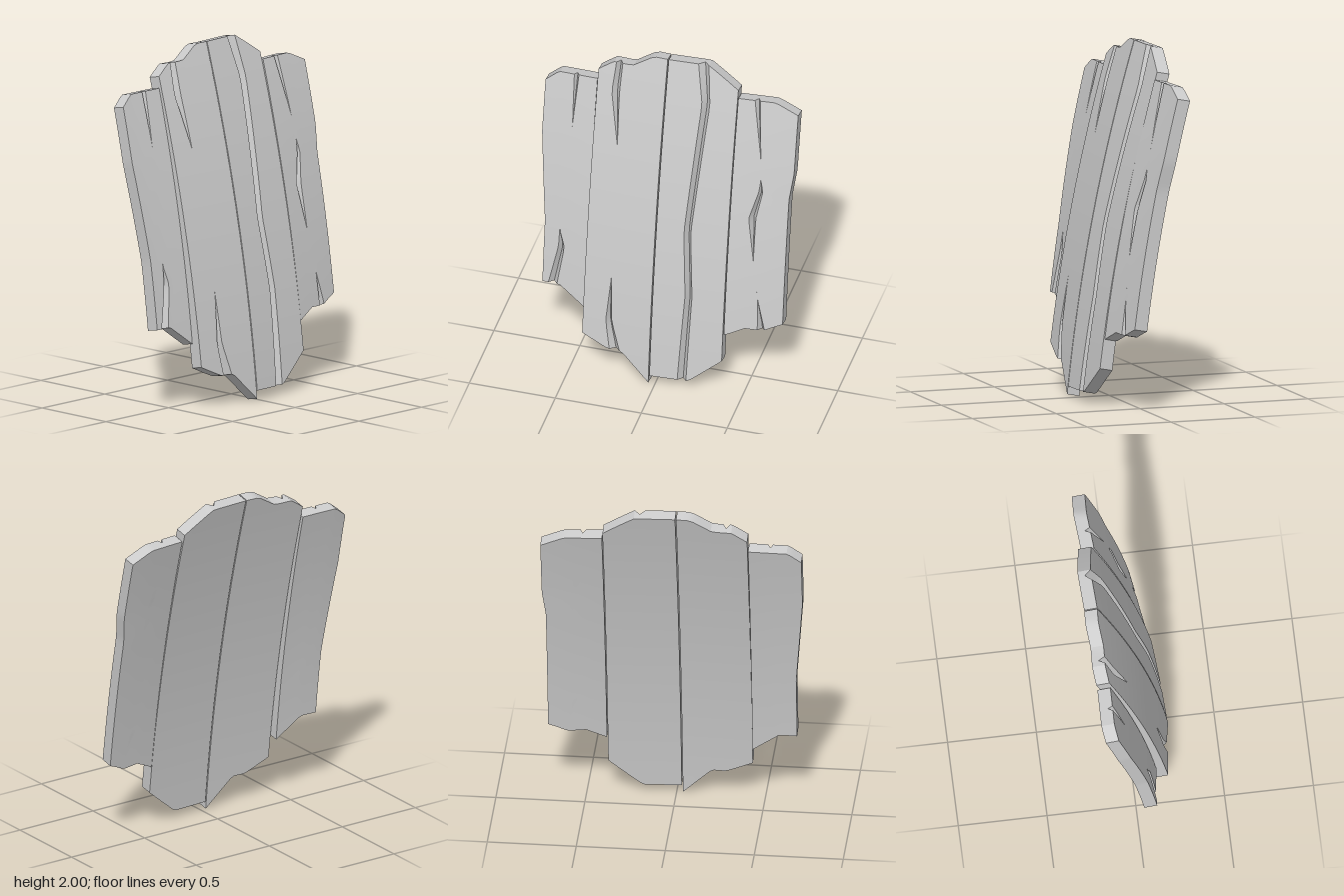
import * as THREE from 'three';
import { toCreasedNormals } from 'three/addons/utils/BufferGeometryUtils.js';

const ROWS = 36, SUB = 8, THICK = 0.073;
const lerp = THREE.MathUtils.lerp;

// Piecewise-linear lookup through points [key, value, ...], constant past both ends.
function sample(points, key, col = 1) {
  const i = points.findIndex((point) => key <= point[0]);
  if (i === 0) return points[0][col];
  if (i < 0) return points[points.length - 1][col];
  const a = points[i - 1], b = points[i];
  return lerp(a[col], b[col], (key - a[0]) / (b[0] - a[0]));
}

// Front surface: leaning back and gently bowed forward.
const lean = (y) => 0.235 - 0.2 * (y - 0.02) + 0.05 * y * (2 - y);

// left, right: x at height y. top, bottom: y along x. crack: [y, centre x, width].
// setback: depth behind the lean at the left and right edges, and its share left at the top.
function plankGeometry({ left, right, top, bottom, crack, setback }) {
  const lip = (y, side) => sample(crack, y) + side * sample(crack, y, 2) / 2;

  // Columns across the plank: left field, crack bed, right field.
  const columns = [(y) => sample(crack, y)];
  for (let i = 0; i <= SUB; i++) {
    columns.splice(i, 0, (y) => lerp(sample(left, y), lip(y, -1), i / SUB));
    columns.push((y) => lerp(lip(y, 1), sample(right, y), i / SUB));
  }
  const n = columns.length, ring = 2 * n, bed = SUB + 1;
  const position = [], index = [];

  // Rings of front points left to right, then back points right to left.
  for (let k = 0; k <= ROWS; k++) {
    const t = k / ROWS;
    const front = columns.map((column, j) => {
      const y = lerp(sample(bottom, column(0)), sample(top, column(2)), t);
      const x = column(y);
      const across = (x - sample(left, y)) / (sample(right, y) - sample(left, y));
      const z = lean(y) - lerp(setback[0], setback[1], across) * lerp(1, setback[2], t);
      const cut = j === bed ? Math.min(0.035, sample(crack, y, 2)) : 0;
      return { x, y, z, cut };
    });
    for (const f of front) position.push(f.x, f.y - 0.2 * f.cut, f.z - f.cut);
    for (const f of front.reverse()) position.push(f.x, f.y - 0.2 * THICK, f.z - THICK);
  }
  const quad = (a, b, c, d) => index.push(a, b, c, a, c, d);
  for (let k = 0; k < ROWS; k++) {
    for (let i = 0; i < ring; i++) {
      const j = (i + 1) % ring, a = k * ring, b = a + ring;
      quad(a + i, a + j, b + j, b + i);
    }
  }
  // Broken ends
  const end = ROWS * ring;
  for (let i = 0; i < n - 1; i++) {
    const j = ring - 1 - i;
    quad(end + i, end + i + 1, end + j - 1, end + j);
    quad(j, j - 1, i + 1, i);
  }
  const geometry = new THREE.BufferGeometry();
  geometry.setAttribute('position', new THREE.Float32BufferAttribute(position, 3));
  geometry.setIndex(index);
  return toCreasedNormals(geometry, 0.35);
}

export function createModel() {
  const model = new THREE.Group();
  model.name = 'plankShield';
  const wood = new THREE.MeshStandardMaterial({ color: 0xcccccc });
  const addPlank = (name, shape) => {
    const mesh = new THREE.Mesh(plankGeometry(shape), wood);
    mesh.name = name;
    model.add(mesh);
  };

  addPlank('outerPlankRight', {
    left: [[0.88, -0.69], [1.43, -0.735]],
    right: [[0, -0.437]],
    top: [[-0.735, 1.74], [-0.66, 1.8]],
    bottom: [[-0.59, 0.49], [-0.437, 0.375]],
    crack: [[0.49, -0.63, 0.05], [0.73, -0.587, 0.035], [0.84, -0.602, 0], [1.5, -0.562, 0], [1.8, -0.558, 0.027]],
    setback: [0.08, 0.07, 0.47],
  });
  addPlank('innerPlankRight', {
    left: [[0, -0.432]],
    right: [[0, -0.035]],
    top: [[-0.432, 1.865], [-0.345, 1.925], [-0.235, 1.925], [-0.115, 2]],
    bottom: [[-0.432, 0.25], [-0.28, 0.18], [-0.2, 0.18], [-0.035, 0.015]],
    crack: [[0.18, -0.24, 0.06], [0.36, -0.28, 0.035], [0.64, -0.275, 0], [1.44, -0.288, 0], [1.75, -0.322, 0.045], [1.92, -0.312, 0.037]],
    setback: [0.02, 0, 1],
  });
  addPlank('innerPlankLeft', {
    left: [[0, -0.029]],
    right: [[0, 0.38]],
    top: [[0.2, 2], [0.38, 1.88]],
    bottom: [[0.19, 0.06], [0.38, 0.22]],
    crack: [[0.06, 0.155, 0.05], [0.6, 0.175, 0.04], [1, 0.148, 0.039], [1.77, 0.203, 0.045], [2, 0.172, 0.06]],
    setback: [0, 0.02, 1],
  });
  addPlank('outerPlankLeft', {
    left: [[0, 0.385]],
    right: [[1.27, 0.71], [1.43, 0.73]],
    top: [[0.6, 1.838], [0.73, 1.78]],
    bottom: [[0.385, 0.385], [0.5, 0.44], [0.6, 0.435], [0.71, 0.485]],
    crack: [[0.44, 0.59, 0.04], [0.63, 0.565, 0], [0.87, 0.53, 0], [1.13, 0.51, 0.04], [1.3, 0.55, 0.022],
      [1.37, 0.545, 0], [1.5, 0.537, 0], [1.84, 0.495, 0.03]],
    setback: [0.025, 0.07, 0.6],
  });
  return model;
}
